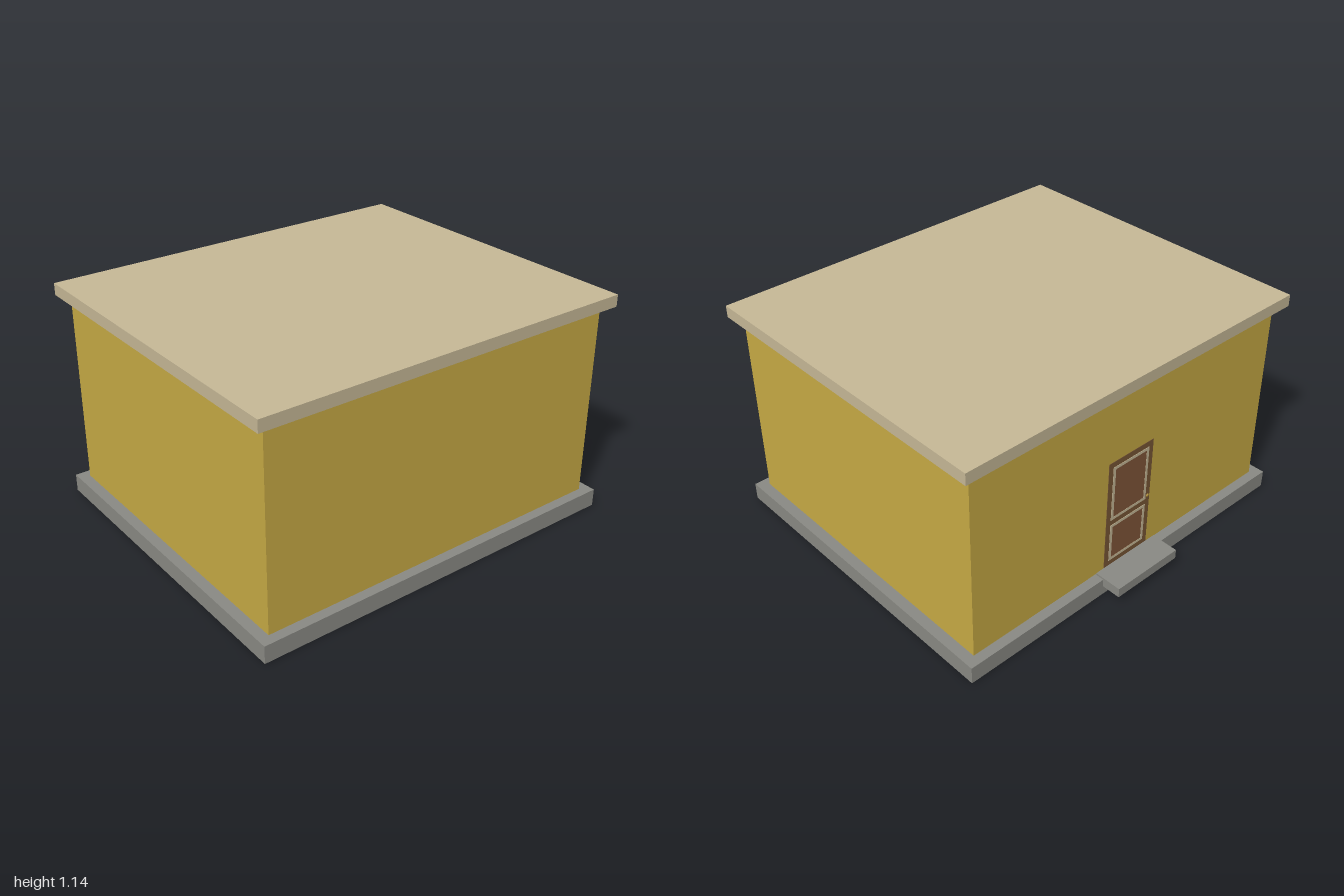
import * as THREE from 'three';

const paint = (name, color) => {
  const m = new THREE.MeshStandardMaterial({ color });
  m.name = name;
  return m;
};

export function createModel() {
  const concrete = paint('concrete grey', 0x8b8b85);
  const plaster = paint('ochre wall', 0xc9ac45);
  const sand = paint('sand', 0xc8ba98);
  const frameBrown = paint('frame brown', 0x7a5836);
  const panelBrown = paint('panel brown', 0x82583a);
  const brass = paint('brass', 0xb8963c);

  const house = new THREE.Group();
  house.name = 'house';

  // Box given by its minimum and maximum corners
  const box = (parent, name, mat, [x0, y0, z0], [x1, y1, z1]) => {
    const mesh = new THREE.Mesh(new THREE.BoxGeometry(x1 - x0, y1 - y0, z1 - z0), mat);
    mesh.position.set((x0 + x1) / 2, (y0 + y1) / 2, (z0 + z1) / 2);
    mesh.name = name;
    parent.add(mesh);
    return mesh;
  };

  // Rectangular ring in the xy plane, extruded by depth
  const ring = (parent, name, mat, w, y0, y1, t, zBack, depth) => {
    const rect = (P, hw, a, b) => {
      const p = new P();
      p.moveTo(-hw, a); p.lineTo(hw, a); p.lineTo(hw, b); p.lineTo(-hw, b); p.closePath();
      return p;
    };
    const shape = rect(THREE.Shape, w, y0, y1);
    shape.holes.push(rect(THREE.Path, w - t, y0 + t, y1 - t));
    const mesh = new THREE.Mesh(new THREE.ExtrudeGeometry(shape, { depth, bevelEnabled: false }), mat);
    mesh.position.z = zBack - depth;
    mesh.name = name;
    parent.add(mesh);
  };

  // Main volumes
  box(house, 'foundation', concrete, [-1, 0, -0.8], [1, 0.09, 0.9]);
  box(house, 'walls', plaster, [-0.945, 0.09, -0.75], [0.945, 1.08, 0.85]);
  box(house, 'roofSlab', sand, [-1, 1.08, -0.8], [1, 1.14, 0.9]);
  box(house, 'doorStep', concrete, [-0.197, 0.05, -0.9], [0.197, 0.1, -0.755]);

  // Back door, nearly flush with the wall
  const door = new THREE.Group();
  door.name = 'backDoor';
  house.add(door);
  const z = -0.75;
  box(door, 'doorLeaf', frameBrown, [-0.144, 0.09, z - 0.002], [0.144, 0.705, z]);
  for (const [name, y0, y1] of [['upper', 0.37, 0.675], ['lower', 0.125, 0.34]]) {
    box(door, name + 'Panel', panelBrown, [-0.105, y0 + 0.01, z - 0.003], [0.105, y1 - 0.01, z - 0.001]);
    ring(door, name + 'PanelTrim', sand, 0.116, y0, y1, 0.015, z - 0.001, 0.003);
  }

  // Door knob
  const knob = new THREE.Mesh(new THREE.SphereGeometry(0.009, 12, 8), brass);
  knob.scale.z = 0.5;
  knob.position.set(-0.13, 0.385, z - 0.003);
  knob.name = 'doorKnob';
  door.add(knob);

  return house;
}
